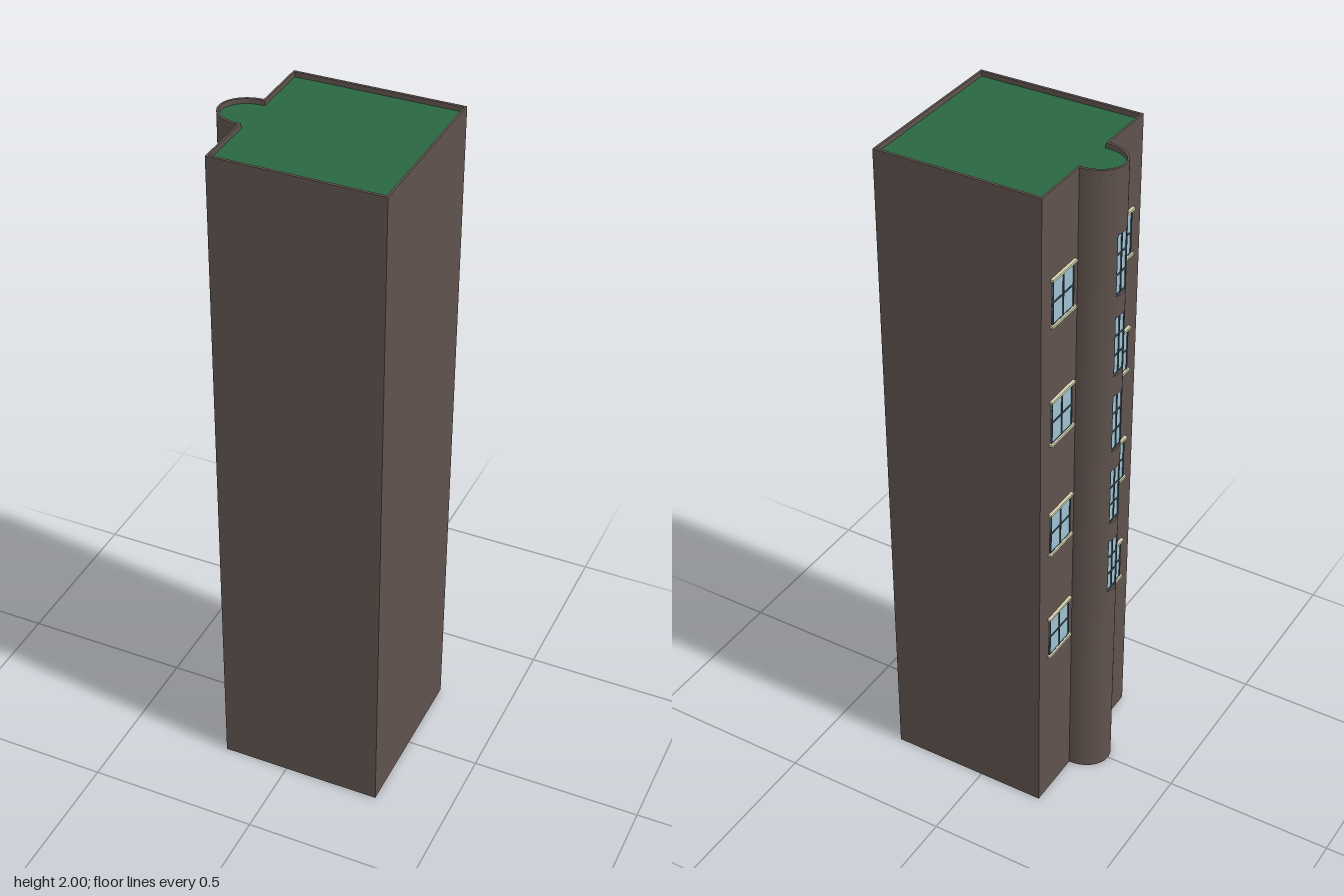
import * as THREE from 'three';
import { toCreasedNormals } from 'three/addons/utils/BufferGeometryUtils.js';

const paint = (color) => new THREE.MeshStandardMaterial({ color });
const brick = paint(0x5f524d), roofGreen = paint(0x2a6640), glass = paint(0x9cc0d0);
const frameDark = paint(0x3c4c58), cream = paint(0xcfd0ac);

const RIGHT = 0.286, WALL = -0.197, HALF = 0.253; // main block, plan
const BAY_X = 0.09, BAY_Z = 0.075;                // half-ellipse stair bay
const SLOT = 0.027, SLOT_X = -0.277;              // window slot at the tip of the bay
const ROOF = 1.985, TOP = 2;

// Plan outline of the block together with its bay
function outline(xr, xl, half, rx, rz, Type = THREE.Shape) {
  const s = new Type();
  s.moveTo(xr, -half);
  s.lineTo(xr, half);
  s.lineTo(xl, half);
  s.lineTo(xl, rz);
  s.absellipse(WALL, 0, rx, rz, Math.PI / 2, Math.PI * 1.5, false);
  s.lineTo(xl, -rz);
  s.lineTo(xl, -half);
  s.closePath();
  return s;
}

// Plan of the bay alone, with or without the window slot
function bayPlan(slotted) {
  const s = new THREE.Shape();
  const cut = slotted ? Math.asin(SLOT / BAY_Z) : 0;
  s.moveTo(WALL + 0.002, -BAY_Z);
  s.lineTo(WALL + 0.002, BAY_Z);
  s.absellipse(WALL, 0, BAY_X, BAY_Z, Math.PI / 2, Math.PI - cut, false);
  if (slotted) {
    s.lineTo(SLOT_X, SLOT);
    s.lineTo(SLOT_X, -SLOT);
  }
  s.absellipse(WALL, 0, BAY_X, BAY_Z, Math.PI + cut, Math.PI * 1.5, false);
  s.closePath();
  return s;
}

// Raise a plan shape from y0 to y1
function raise(shape, y0, y1) {
  const g = new THREE.ExtrudeGeometry(shape, { depth: y1 - y0, bevelEnabled: false, curveSegments: 20 });
  g.rotateX(-Math.PI / 2).translate(0, y0, 0);
  return toCreasedNormals(g, 0.5);
}

function add(parent, name, geometry, material) {
  const mesh = new THREE.Mesh(geometry, material);
  mesh.name = name;
  parent.add(mesh);
  return mesh;
}

// Box given by its limits
function block(parent, name, material, x0, x1, y0, y1, z0, z1) {
  const g = new THREE.BoxGeometry(x1 - x0, y1 - y0, z1 - z0);
  add(parent, name, g, material).position.set((x0 + x1) / 2, (y0 + y1) / 2, (z0 + z1) / 2);
}

// Glazing facing -x, divided by bars into columns and rows
function glazing(name, x, y, z, height, width, cols, rows) {
  const w = new THREE.Group();
  w.name = name;
  w.position.set(x, y, z);
  const b = 0.0025;
  block(w, 'pane', glass, -0.001, 0.002, 0, height, -width / 2, width / 2);
  for (let i = 0; i <= cols; i++) {
    const c = (i / cols - 0.5) * (width - 2 * b);
    block(w, 'uprightBar', frameDark, -0.003, 0.001, 0, height, c - b, c + b);
  }
  for (let i = 0; i <= rows; i++) {
    const c = b + (i / rows) * (height - 2 * b);
    block(w, 'crossBar', frameDark, -0.0028, 0.001, c - b, c + b, -width / 2, width / 2);
  }
  return w;
}

export function createModel() {
  const model = new THREE.Group();
  model.name = 'towerBlock';

  // Main block
  block(model, 'mainBlock', brick, WALL, RIGHT, 0, ROOF, -HALF, HALF);

  // Bay: solid bands alternating with slotted window bands
  const bay = new THREE.Group();
  bay.name = 'stairBay';
  model.add(bay);
  let y = 0;
  for (let i = 0; i < 5; i++) {
    const y0 = 0.66 + i * 0.243, y1 = y0 + 0.18;
    add(bay, 'bayWall', raise(bayPlan(false), y, y0), brick);
    add(bay, 'bayWindowBand', raise(bayPlan(true), y0, y1), brick);
    bay.add(glazing('bayWindow', SLOT_X - 0.001, y0, 0, 0.18, 2 * SLOT, 2, 3));
    y = y1;
  }
  add(bay, 'bayWall', raise(bayPlan(false), y, ROOF), brick);

  // Parapet around a sunken green roof
  const rim = outline(RIGHT, WALL, HALF, BAY_X, BAY_Z);
  rim.holes.push(outline(0.28, -0.191, 0.245, 0.084, 0.067, THREE.Path));
  add(model, 'parapet', raise(rim, ROOF, TOP), brick);
  add(model, 'roof', raise(outline(0.281, -0.192, 0.246, 0.085, 0.068), ROOF - 0.002, ROOF + 0.001), roofGreen);

  // Four floors of windows on both sides of the bay
  for (const side of [-1, 1]) {
    for (let floor = 0; floor < 4; floor++) {
      const y0 = 0.52 + floor * 0.365, z = side * 0.15;
      const w = glazing('wallWindow', WALL - 0.001, y0, z, 0.135, 0.106, 2, 2);
      for (const [name, h] of [['sill', -0.003], ['lintel', 0.132]]) {
        block(w, name, cream, -0.008, 0.001, h, h + 0.007, -0.06, 0.06);
      }
      model.add(w);
    }
  }
  return model;
}
